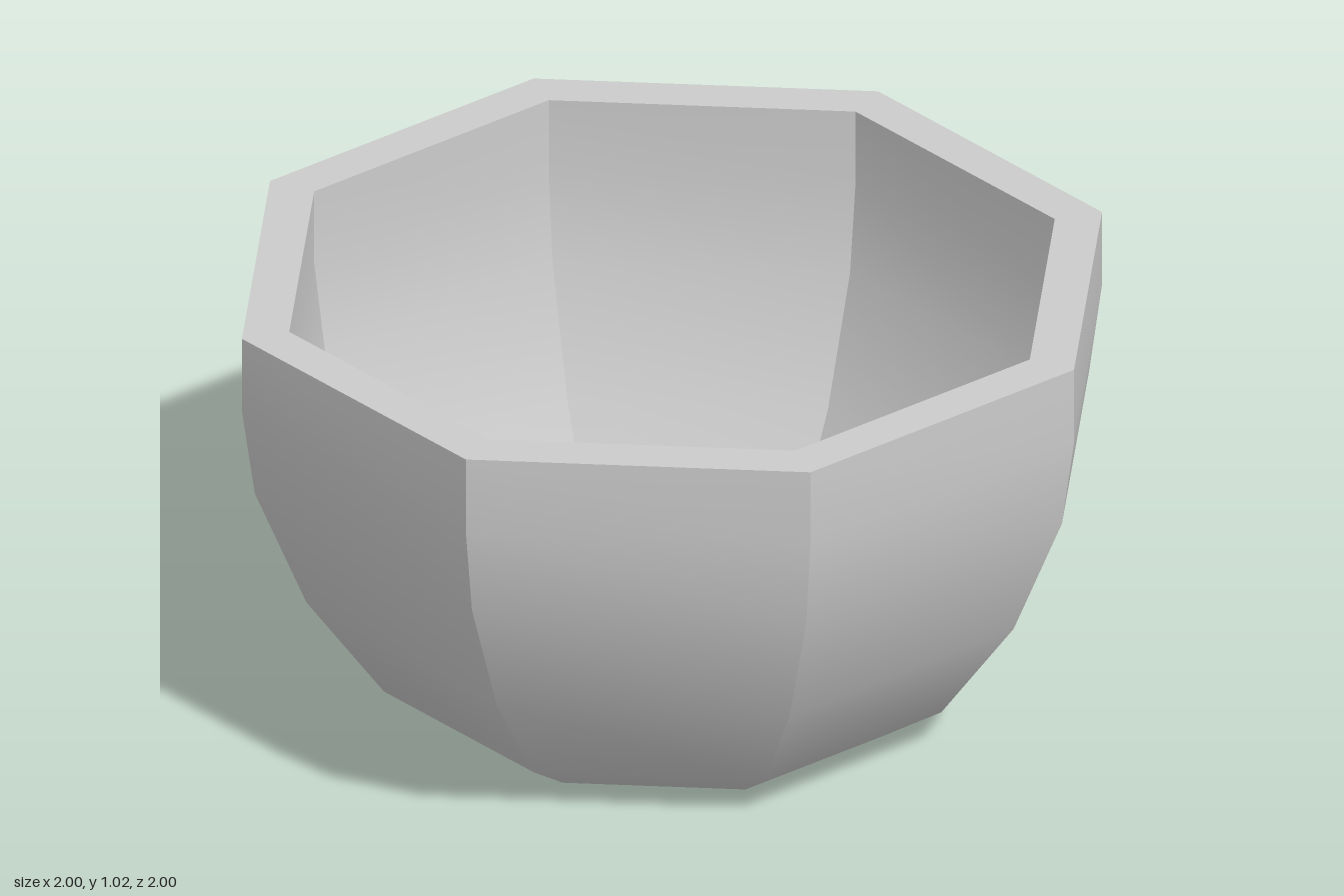
import * as THREE from 'three';
import { toCreasedNormals } from 'three/addons/utils/BufferGeometryUtils.js';

const SIDES = 8;
const INNER = 0.89; // radius of the hollow relative to the outer wall

export function createModel() {
  const group = new THREE.Group();
  group.name = 'octagonalBowl';

  // Outer wall from foot to rim; the hollow repeats it, narrower, down to the floor
  const wall = [[0.67, 0.09], [0.85, 0.34], [0.97, 0.63], [1, 0.84], [1, 1.02]];
  const hollow = wall.map(([r, y]) => [r * INNER, y]).reverse();
  const [footRadius, footHeight] = wall[0];
  const profile = [[0, 0], [0.53, 0], ...wall, ...hollow, [0, footHeight]]
    .map(([r, y]) => new THREE.Vector2(r, y));

  // Smooth up each panel, sharp between panels and at the rim
  const geometry = toCreasedNormals(
    new THREE.LatheGeometry(profile, SIDES),
    THREE.MathUtils.degToRad(30)
  );

  // Blend the panels softly into the foot where their sharp edges end
  const { position, normal } = geometry.attributes;
  const point = new THREE.Vector3();
  for (let i = 0; i < position.count; i++) {
    point.fromBufferAttribute(position, i);
    const radius = Math.hypot(point.x, point.z);
    if (Math.abs(radius - footRadius) < 0.01 && Math.abs(point.y - footHeight) < 0.01) {
      point.set(point.x / radius, -1.05, point.z / radius).normalize();
      normal.setXYZ(i, point.x, point.y, point.z);
    }
  }

  const bowl = new THREE.Mesh(geometry, new THREE.MeshStandardMaterial({ color: 0xcccccc }));
  bowl.name = 'bowl';
  group.add(bowl);
  return group;
}
